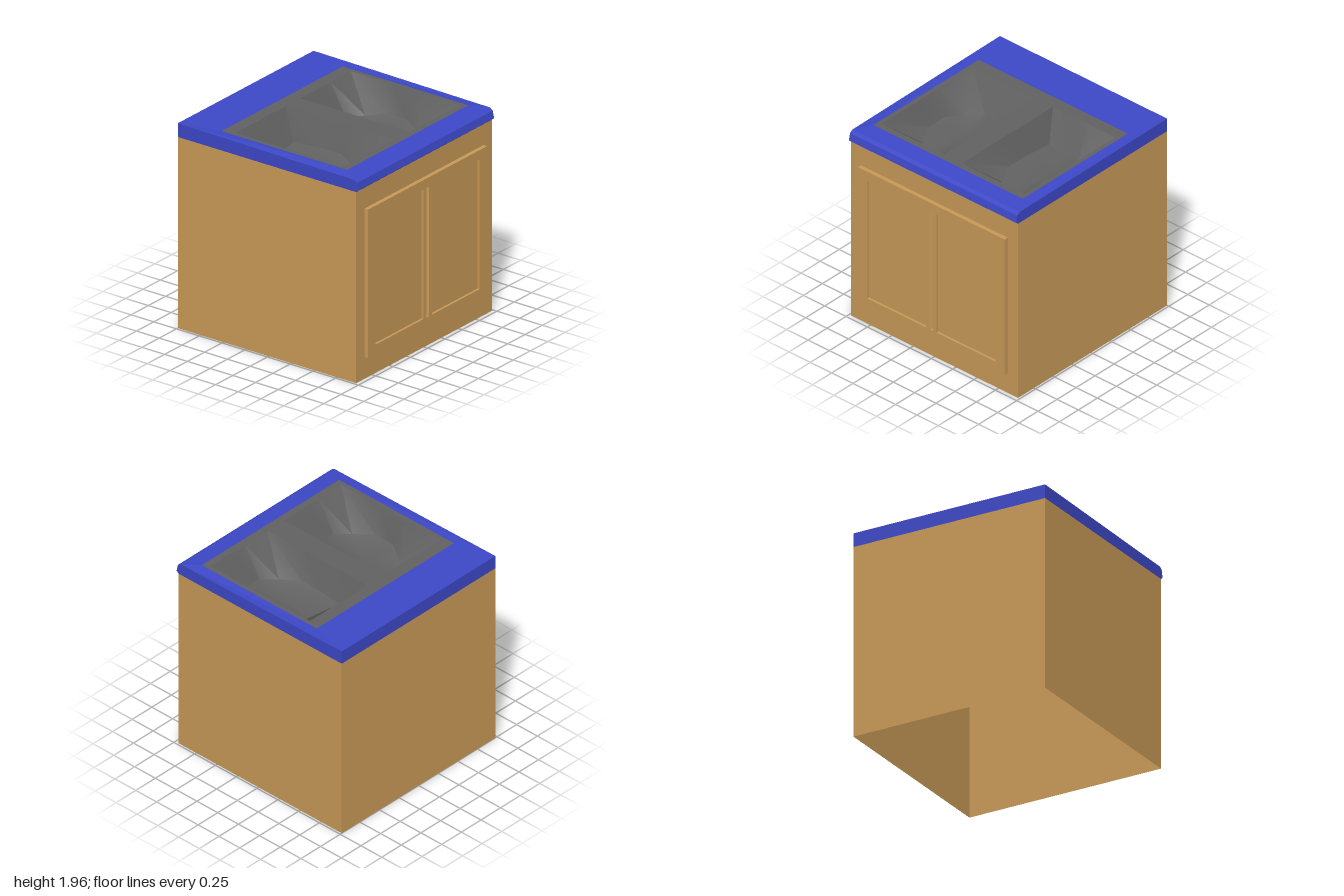
import * as THREE from 'three';
import { toCreasedNormals } from 'three/addons/utils/BufferGeometryUtils.js';

const material = (color) => new THREE.MeshStandardMaterial({ color, side: THREE.DoubleSide });

// Flat polygons (convex, counter-clockwise from outside), each fanned into triangles
function polygons(list) {
  const pos = [];
  for (const p of list) {
    for (let i = 1; i < p.length - 1; i++) pos.push(...p[0], ...p[i], ...p[i + 1]);
  }
  const g = new THREE.BufferGeometry();
  g.setAttribute('position', new THREE.Float32BufferAttribute(pos, 3));
  g.computeVertexNormals();
  return g;
}

function rectangle(Type, x0, y0, x1, y1) {
  const s = new Type();
  s.moveTo(x0, y0);
  s.lineTo(x1, y0);
  s.lineTo(x1, y1);
  s.lineTo(x0, y1);
  s.closePath();
  return s;
}

export function createModel() {
  const model = new THREE.Group();
  const wood = material(0xc99a58);
  const blue = material(0x3d48c8);
  const steel = material(0x626262);

  const add = (name, geometry, mat, parent = model) => {
    const mesh = new THREE.Mesh(geometry, mat);
    mesh.name = name;
    parent.add(mesh);
    return mesh;
  };

  const D = 0.98; // half depth
  const counterY = 1.83;
  const rimY = 1.957;

  // Cabinet walls, open below
  const corners = [[-1, D], [0.96, D], [0.96, -D], [-1, -D]];
  add('cabinet', polygons(corners.map(([x, z], i) => {
    const [x2, z2] = corners[(i + 1) % 4];
    return [[x, 0, z], [x2, 0, z2], [x2, counterY, z2], [x, counterY, z]];
  })), wood);

  // Door frame with two recessed panels and a groove between them
  const door = new THREE.Group();
  door.name = 'doors';
  const frame = rectangle(THREE.Shape, -0.86, 0.21, 0.86, 1.63);
  for (const [a, b] of [[-0.75, -0.06], [0.06, 0.75], [-0.02, 0.02]]) {
    frame.holes.push(rectangle(THREE.Path, a, 0.3, b, 1.54));
  }
  const frameGeometry = new THREE.ExtrudeGeometry(frame, { depth: 0.04, bevelEnabled: false });
  frameGeometry.rotateY(Math.PI / 2).translate(0.96, 0, 0);
  add('doorFrame', frameGeometry, wood, door);
  for (const s of [-1, 1]) {
    const panel = new THREE.PlaneGeometry(0.69, 1.24);
    panel.rotateY(Math.PI / 2).translate(0.977, 0.92, s * 0.405);
    add('doorPanel', panel, wood, door);
  }
  const groove = [[1, 0.02], [0.97, 0.005], [0.97, -0.005], [1, -0.02]];
  add('doorGroove', polygons(groove.slice(0, 3).map(([x, z], i) => {
    const [x2, z2] = groove[i + 1];
    return [[x, 0.3, z], [x2, 0.3, z2], [x2, 1.54, z2], [x, 1.54, z]];
  })), wood, door);
  model.add(door);

  // Countertop: edge profile in x, y, swept along z, with a sloping top around the sink
  const profile = [[0.96, counterY], [0.985, 1.85], [0.97, 1.92], [0.94, 1.942], [-1, 1.962], [-1, counterY]];
  const counter = [
    profile.map(([x, y]) => [x, y, D]),
    profile.map(([x, y]) => [x, y, -D]).reverse(),
  ];
  for (const i of [0, 1, 2, 4]) {
    const [x, y] = profile[i];
    const [x2, y2] = profile[i + 1];
    counter.push([[x, y, D], [x, y, -D], [x2, y2, -D], [x2, y2, D]]);
  }
  const outer = [[-1, 1.962, D], [0.94, 1.942, D], [0.94, 1.942, -D], [-1, 1.962, -D]];
  const inner = [[-0.6, rimY, 0.875], [0.78, rimY, 0.875], [0.78, rimY, -0.875], [-0.6, rimY, -0.875]];
  for (let i = 0; i < 4; i++) {
    const j = (i + 1) % 4;
    counter.push([outer[i], outer[j], inner[j], inner[i]]);
  }
  add('countertop', polygons(counter), blue);

  // Sink rim with two openings
  const rim = rectangle(THREE.Shape, -0.6, -0.875, 0.78, 0.875);
  rim.holes.push(rectangle(THREE.Path, -0.48, 0.105, 0.715, 0.835));
  rim.holes.push(rectangle(THREE.Path, -0.48, -0.835, 0.715, -0.105));
  add('sinkRim', new THREE.ShapeGeometry(rim).rotateX(-Math.PI / 2).translate(0, rimY, 0), steel);

  // Basin rings: x, distance from the divider, depth
  const top = [
    [-0.48, 0], [-0.04, 0], [0.25, 0], [0.715, 0], [0.715, 0.29], [0.715, 0.44],
    [0.715, 0.73], [0.25, 0.73], [-0.04, 0.73], [-0.48, 0.73], [-0.48, 0.44], [-0.48, 0.29],
  ];
  const low = [
    [-0.32, 0.1, 0.27], [0, 0.1, 0.24], [0.21, 0.1, 0.24], [0.4, 0.19, 0.27],
    [0.54, 0.29, 0.29], [0.54, 0.44, 0.29], [0.4, 0.53, 0.27], [0.21, 0.63, 0.24],
    [0, 0.63, 0.24], [-0.17, 0.53, 0.27], [-0.32, 0.44, 0.29], [-0.32, 0.29, 0.29],
  ];
  for (const s of [-1, 1]) {
    const point = ([x, w, depth = 0]) => [x, rimY - depth, s * (0.105 + w)];
    const faces = [];
    for (let i = 0; i < 12; i++) {
      const j = (i + 1) % 12;
      faces.push([top[i], low[i], low[j], top[j]], [low[i], [0.1, 0.365, 0.3], low[j]]);
    }
    const placed = faces.map((f) => {
      const p = f.map(point);
      return s > 0 ? p.reverse() : p;
    });
    // Faces look up into the bowl
    const geometry = polygons(placed.map((p) => p.reverse()));
    add(s > 0 ? 'frontBasin' : 'backBasin', toCreasedNormals(geometry, 0.7), steel);
  }
  return model;
}
